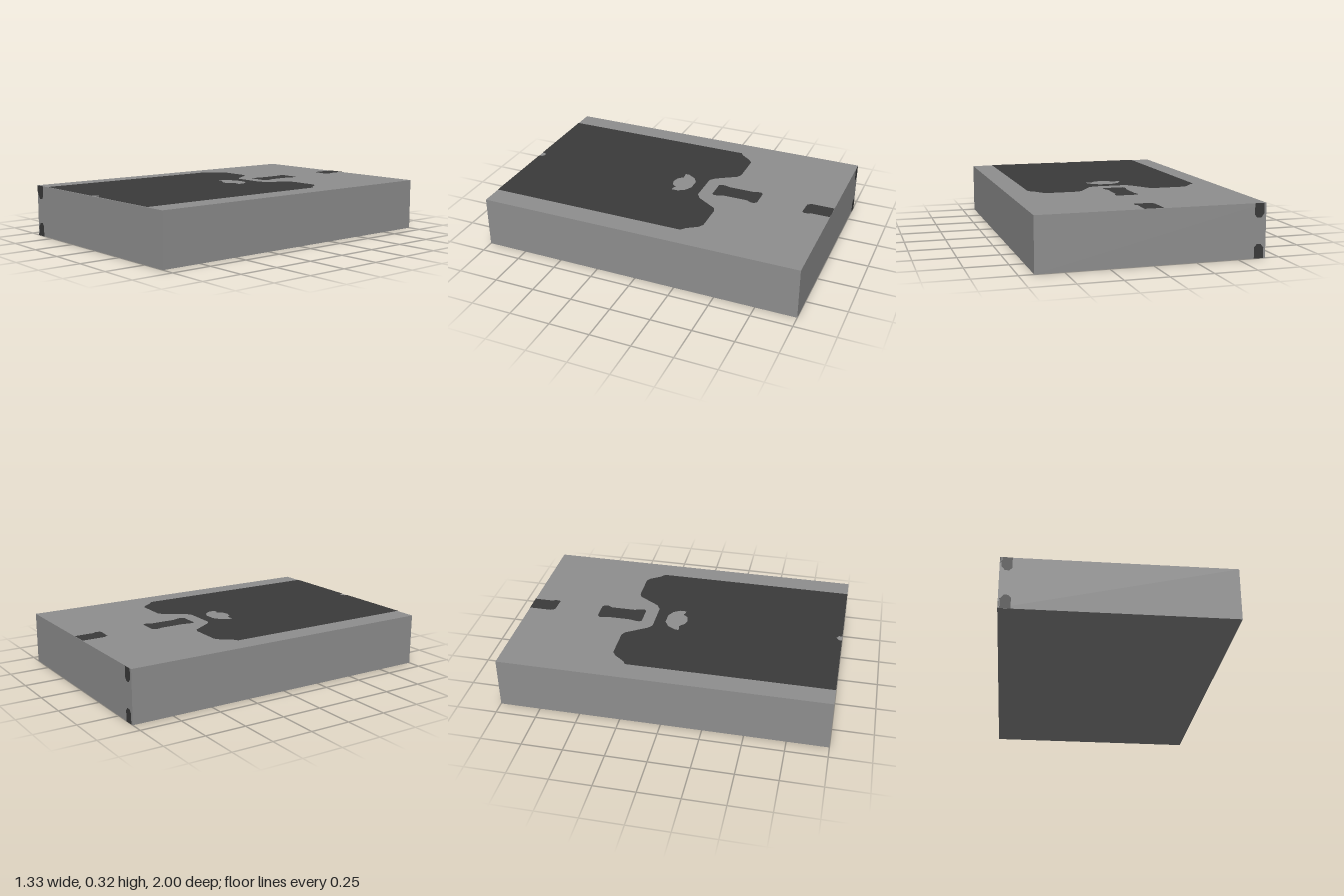
import * as THREE from 'three';

const W = 1.33, H = 0.316, D = 2, LIFT = 0.002;

const grey = new THREE.MeshStandardMaterial({ color: 0x8f8f8f });
grey.name = 'mid grey';
const dark = new THREE.MeshStandardMaterial({ color: 0x3a3a3a });
dark.name = 'charcoal';

const toPoints = (list) => list.map(([x, y]) => new THREE.Vector2(x, y));

// Flat painted patch on the top face, outlined in (x, z)
function topPatch(name, outline, hole) {
  const flip = (list) => toPoints(list.map(([x, z]) => [x, -z]));
  const shape = new THREE.Shape(flip(outline));
  if (hole) shape.holes.push(new THREE.Path(flip(hole)));
  const geometry = new THREE.ShapeGeometry(shape);
  geometry.rotateX(-Math.PI / 2);
  geometry.translate(0, H + LIFT, 0);
  const mesh = new THREE.Mesh(geometry, dark);
  mesh.name = name;
  return mesh;
}

// Flat painted patch on the front or back face, outlined in (x, y)
function endPatch(name, outline, isBack) {
  const sign = isBack ? -1 : 1;
  const geometry = new THREE.ShapeGeometry(
    new THREE.Shape(toPoints(outline.map(([x, y]) => [x * sign, y]))));
  if (isBack) geometry.rotateY(Math.PI);
  geometry.translate(0, 0, sign * (D / 2 + LIFT));
  const mesh = new THREE.Mesh(geometry, dark);
  mesh.name = name;
  return mesh;
}

export function createModel() {
  const model = new THREE.Group();
  model.name = 'slab';

  // Solid block
  const body = new THREE.Mesh(new THREE.BoxGeometry(W, H, D), grey);
  body.name = 'body';
  body.position.y = H / 2;
  model.add(body);

  // Large panel with a shouldered outline, a domed gap and a small notch
  model.add(topPatch('mainPanel', [
    [-0.535, 1], [-0.535, -0.24], [-0.51, -0.255], [-0.46, -0.32], [-0.43, -0.34],
    [-0.24, -0.34], [-0.21, -0.325], [-0.13, -0.2], [-0.1, -0.175],
    [0.1, -0.175], [0.14, -0.2], [0.22, -0.325], [0.25, -0.34],
    [0.43, -0.34], [0.46, -0.32], [0.5, -0.26], [0.53, -0.235], [0.53, 1],
    [0.02, 1], [0.02, 0.98], [0, 0.965], [-0.025, 0.98], [-0.025, 1],
  ], [
    [-0.115, -0.005], [-0.115, -0.03], [-0.085, -0.078], [-0.04, -0.105],
    [0.035, -0.105], [0.08, -0.08], [0.105, -0.04], [0.105, 0], [0.085, 0],
    [0.065, -0.01], [0.04, 0.02], [0, 0.03], [-0.04, 0.02], [-0.07, -0.01],
  ]));

  // Waisted mark behind the panel
  model.add(topPatch('middleMark', [
    [-0.055, -0.545], [0.055, -0.545], [0.07, -0.53], [0.07, -0.51], [0.055, -0.48],
    [0.055, -0.33], [0.07, -0.29], [0.07, -0.265], [0.06, -0.255],
    [-0.06, -0.255], [-0.07, -0.27], [-0.07, -0.29], [-0.06, -0.33],
    [-0.06, -0.48], [-0.07, -0.51], [-0.07, -0.53],
  ]));

  // Mark at the back edge
  model.add(topPatch('rearMark', [
    [-0.055, -1], [0.055, -1], [0.055, -0.88], [0.065, -0.87], [0.065, -0.84],
    [0.055, -0.83], [-0.04, -0.835], [-0.055, -0.86],
  ]));

  // Rounded corner tabs, mirrored top to bottom, on both ends
  const tab = [
    [-0.652, 0], [-0.595, 0], [-0.595, 0.065], [-0.61, 0.082],
    [-0.635, 0.082], [-0.652, 0.06],
  ];
  // Thin slivers beside the front tabs
  const slivers = [[-0.664, -0.66, 0.04], [-0.657, -0.654, 0.06]];
  for (const flipped of [false, true]) {
    const place = (list) => list.map(([x, y]) => [x, flipped ? H - y : y]);
    const level = flipped ? 'Upper' : 'Lower';
    model.add(endPatch('front' + level + 'Tab', place(tab), false));
    model.add(endPatch('back' + level + 'Tab', place(tab), true));
    for (const [x0, x1, h] of slivers) {
      model.add(endPatch('front' + level + 'Sliver',
        place([[x0, 0], [x1, 0], [x1, h], [x0, h]]), false));
    }
  }
  return model;
}
